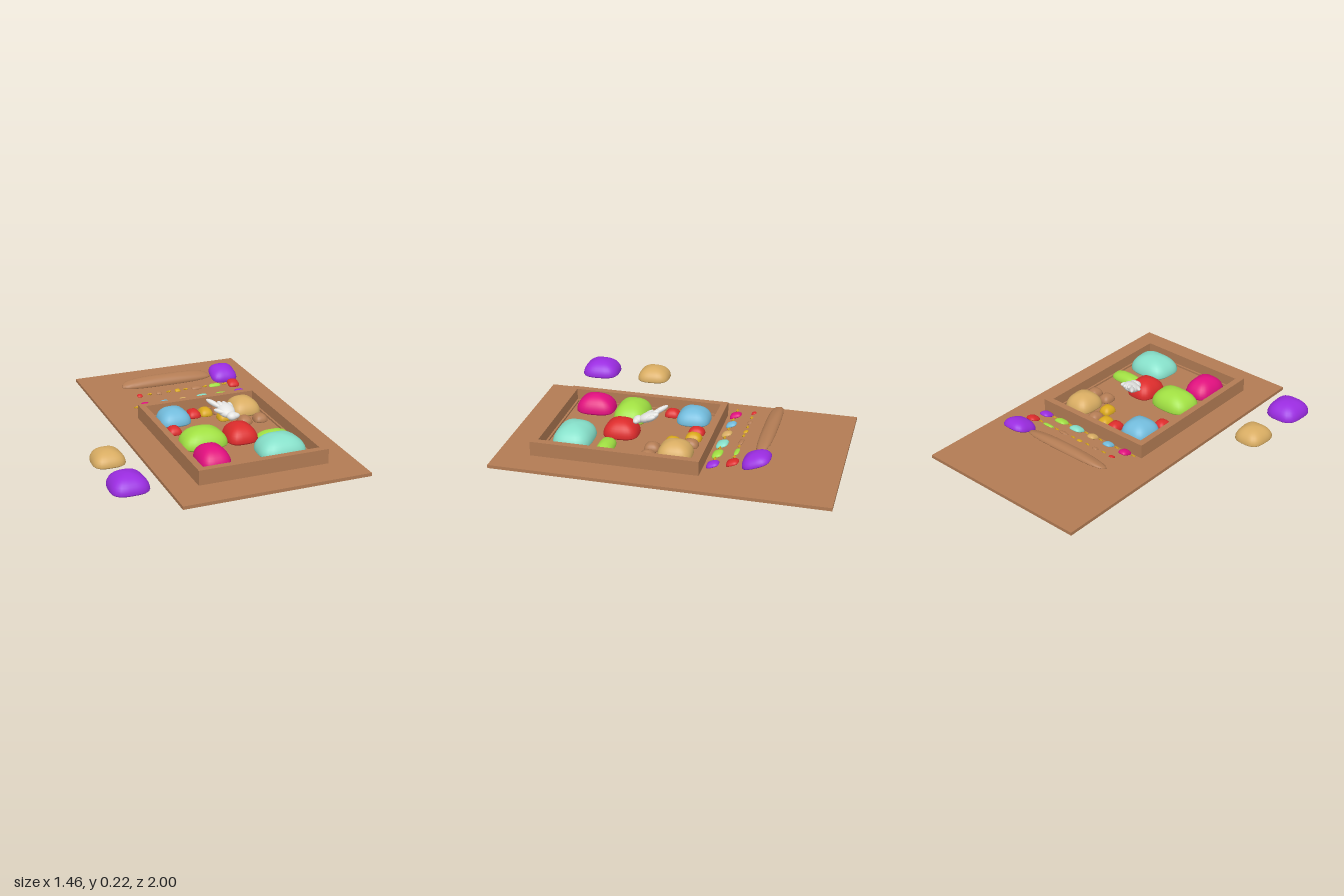
import * as THREE from 'three';
import { mergeVertices } from 'three/addons/utils/BufferGeometryUtils.js';

const material = (name, color) => {
  const m = new THREE.MeshStandardMaterial({ color });
  m.name = name;
  return m;
};

// Cushion: unit dome with a rounded-square plan, slightly wider at the front, shallow belly
function cushionGeometry() {
  const g = new THREE.SphereGeometry(1, 32, 20);
  g.deleteAttribute('uv');
  g.deleteAttribute('normal');
  const p = g.attributes.position;
  for (let i = 0; i < p.count; i++) {
    let x = p.getX(i), y = p.getY(i), z = p.getZ(i);
    const r = Math.hypot(x, z);
    if (r > 1e-6) {
      const c = x / r, s = z / r, n = 3.2;
      const k = Math.pow(Math.abs(c) ** n + Math.abs(s) ** n, -1 / n);
      x *= k;
      z *= k;
    }
    x *= 0.98 + 0.06 * z;
    y = y > 0 ? 0.24 + 0.76 * y : 0.24 + 0.24 * y;
    p.setXYZ(i, x / 2, y, z / 2);
  }
  const merged = mergeVertices(g, 1e-5);
  merged.computeVertexNormals();
  return merged;
}

export function createModel() {
  const model = new THREE.Group();
  const M = {
    wood: material('wood brown', 0xb37c54),
    purple: material('purple', 0x9a2ce0),
    tan: material('tan', 0xd8ac62),
    blue: material('sky blue', 0x72bbdb),
    red: material('red', 0xdb2b2b),
    yellow: material('mustard', 0xd9a81c),
    green: material('lime', 0xa0df42),
    pink: material('magenta', 0xe00f7e),
    teal: material('mint', 0x86dfc9),
    white: material('glove white', 0xe2e2e0),
  };
  const add = (parent, name, geometry, mat) => {
    const mesh = new THREE.Mesh(geometry, mat);
    mesh.name = name;
    parent.add(mesh);
    return mesh;
  };
  const group = (name) => {
    const g = new THREE.Group();
    g.name = name;
    model.add(g);
    return g;
  };

  // Base board
  add(model, 'baseBoard', new THREE.BoxGeometry(1.135, 0.02, 2), M.wood).position.set(0.1625, 0.01, 0);

  // Tray: four mitred walls on a slightly wider plinth, with a floor
  const tray = group('tray');
  const X0 = -0.235, X1 = 0.56, Z0 = -0.215, Z1 = 0.8;
  const ring = (name, w, y0, y1) => {
    const outer = [[X0, Z0], [X1, Z0], [X1, Z1], [X0, Z1]];
    const inner = [[X0 + w, Z0 + w], [X1 - w, Z0 + w], [X1 - w, Z1 - w], [X0 + w, Z1 - w]];
    for (let i = 0; i < 4; i++) {
      const j = (i + 1) % 4;
      const shape = new THREE.Shape([outer[i], outer[j], inner[j], inner[i]].map((q) => new THREE.Vector2(...q)));
      const g = new THREE.ExtrudeGeometry(shape, { depth: y1 - y0, bevelEnabled: false });
      add(tray, name, g.rotateX(Math.PI / 2), M.wood).position.y = y1;
    }
  };
  ring('trayWall', 0.04, 0.04, 0.11);
  ring('trayPlinth', 0.052, 0.02, 0.04);
  add(tray, 'trayFloor', new THREE.BoxGeometry(X1 - X0 - 0.1, 0.008, Z1 - Z0 - 0.1), M.wood)
    .position.set((X0 + X1) / 2, 0.024, (Z0 + Z1) / 2);

  // Cushions resting flat: colour, x range, z range, height
  const cushion = cushionGeometry();
  const pieces = group('pieces');
  [
    ['purple', -0.735, -0.51, 0.61, 0.845, 0.115],
    ['tan', -0.72, -0.525, 0.265, 0.47, 0.1],
    ['blue', -0.17, 0.03, -0.14, 0.065, 0.11],
    ['tan', 0.295, 0.49, -0.14, 0.065, 0.115],
    ['red', 0.04, 0.125, -0.14, -0.04, 0.055],
    ['yellow', 0.12, 0.205, -0.14, -0.04, 0.055],
    ['wood', 0.205, 0.288, -0.14, -0.04, 0.055],
    ['yellow', 0.2, 0.285, -0.03, 0.065, 0.055],
    ['red', -0.165, -0.077, 0.065, 0.16, 0.055],
    ['wood', 0.295, 0.382, 0.07, 0.165, 0.055],
    ['wood', 0.398, 0.485, 0.07, 0.165, 0.055],
    ['green', -0.172, 0.112, 0.235, 0.45, 0.13],
    ['red', 0.11, 0.302, 0.235, 0.45, 0.12],
    ['green', 0.295, 0.51, 0.335, 0.437, 0.06],
    ['pink', -0.17, 0.022, 0.47, 0.71, 0.125],
    ['teal', 0.202, 0.492, 0.475, 0.71, 0.13],
  ].forEach(([color, x0, x1, z0, z1, h]) => {
    const m = add(pieces, color + 'Piece', cushion, M[color]);
    m.scale.set(x1 - x0, h, z1 - z0);
    m.position.set((x0 + x1) / 2, 0.027, (z0 + z1) / 2);
  });

  // Tilted rows climbing towards the back
  const tilted = cushion.clone().translate(0, -0.5, 0);
  const tilt = 0.35;
  const rows = group('tiltedRows');
  const rowY = (z) => 0.066 + (-0.275 - z) * 0.235;
  const leaning = (name, color, x, z, w, d, h) => {
    const m = add(rows, name, tilted, M[color]);
    m.scale.set(w, h, d);
    m.position.set(x, rowY(z), z);
    m.rotation.x = tilt;
  };
  leaning('longBar', 'wood', 0.068, -0.533, 0.61, 0.1, 0.05);
  leaning('largeRowPiece', 'purple', 0.462, -0.525, 0.175, 0.17, 0.075);

  // Small samples: colour, x, width, depth
  const samples = {
    '-0.392': [['red', -0.16, 0.035, 0.032], ['wood', -0.031, 0.038, 0.032], ['yellow', 0.096, 0.035, 0.03],
      ['wood', 0.226, 0.068, 0.032], ['green', 0.353, 0.08, 0.032], ['red', 0.482, 0.075, 0.076]],
    '-0.277': [['pink', -0.16, 0.064, 0.076], ['blue', -0.031, 0.064, 0.066], ['tan', 0.096, 0.062, 0.066],
      ['teal', 0.226, 0.09, 0.076], ['green', 0.353, 0.09, 0.066], ['purple', 0.482, 0.075, 0.076]],
  };
  for (const [z, list] of Object.entries(samples)) {
    list.forEach(([color, x, w, d]) => leaning('samplePiece', color, x, +z, w, d, 0.4 * d));
  }

  // Tiny arrows between the samples
  const arrow = new THREE.Shape([[-0.015, 0.003], [0.002, 0.003], [0.002, 0.01], [0.015, 0],
    [0.002, -0.01], [0.002, -0.003], [-0.015, -0.003]].map((q) => new THREE.Vector2(...q)));
  const arrowGeometry = new THREE.ExtrudeGeometry(arrow, { depth: 0.006, bevelEnabled: false }).rotateX(-Math.PI / 2);
  for (const z of [-0.392, -0.277]) {
    for (const x of [-0.223, -0.094, 0.034, 0.15, 0.285, 0.418]) {
      if (x < -0.2 && z < -0.3) continue;
      const m = add(rows, 'arrow', arrowGeometry, M.yellow);
      m.position.set(x, rowY(z) - 0.003, z);
      m.rotation.x = tilt;
    }
  }

  // Gloved hand: each part is an ellipsoid stretched between two points
  const hand = group('glovedHand');
  const ball = new THREE.SphereGeometry(1, 20, 14);
  const up = new THREE.Vector3(0, 1, 0);
  const lobe = (name, a, b, rx, rz = rx) => {
    const p = new THREE.Vector3(...a), q = new THREE.Vector3(...b);
    const m = add(hand, name, ball, M.white);
    m.position.copy(p).add(q).multiplyScalar(0.5);
    m.scale.set(rx, p.distanceTo(q) / 2, rz);
    m.quaternion.setFromUnitVectors(up, q.sub(p).normalize());
  };
  lobe('palm', [0.2, 0.145, 0.24], [0.175, 0.185, 0.125], 0.05, 0.03);
  lobe('cuff', [0.173, 0.148, 0.243], [0.248, 0.15, 0.25], 0.02, 0.024);
  lobe('wrist', [0.205, 0.14, 0.272], [0.198, 0.158, 0.215], 0.034, 0.024);
  lobe('indexFinger', [0.165, 0.175, 0.165], [0.098, 0.21, 0.084], 0.016);
  lobe('middleFinger', [0.18, 0.17, 0.18], [0.158, 0.2, 0.118], 0.017);
  lobe('ringFinger', [0.205, 0.165, 0.185], [0.192, 0.195, 0.118], 0.017);
  lobe('littleFinger', [0.222, 0.16, 0.2], [0.226, 0.19, 0.13], 0.016);
  lobe('thumb', [0.185, 0.155, 0.22], [0.112, 0.175, 0.172], 0.015);

  return model;
}
